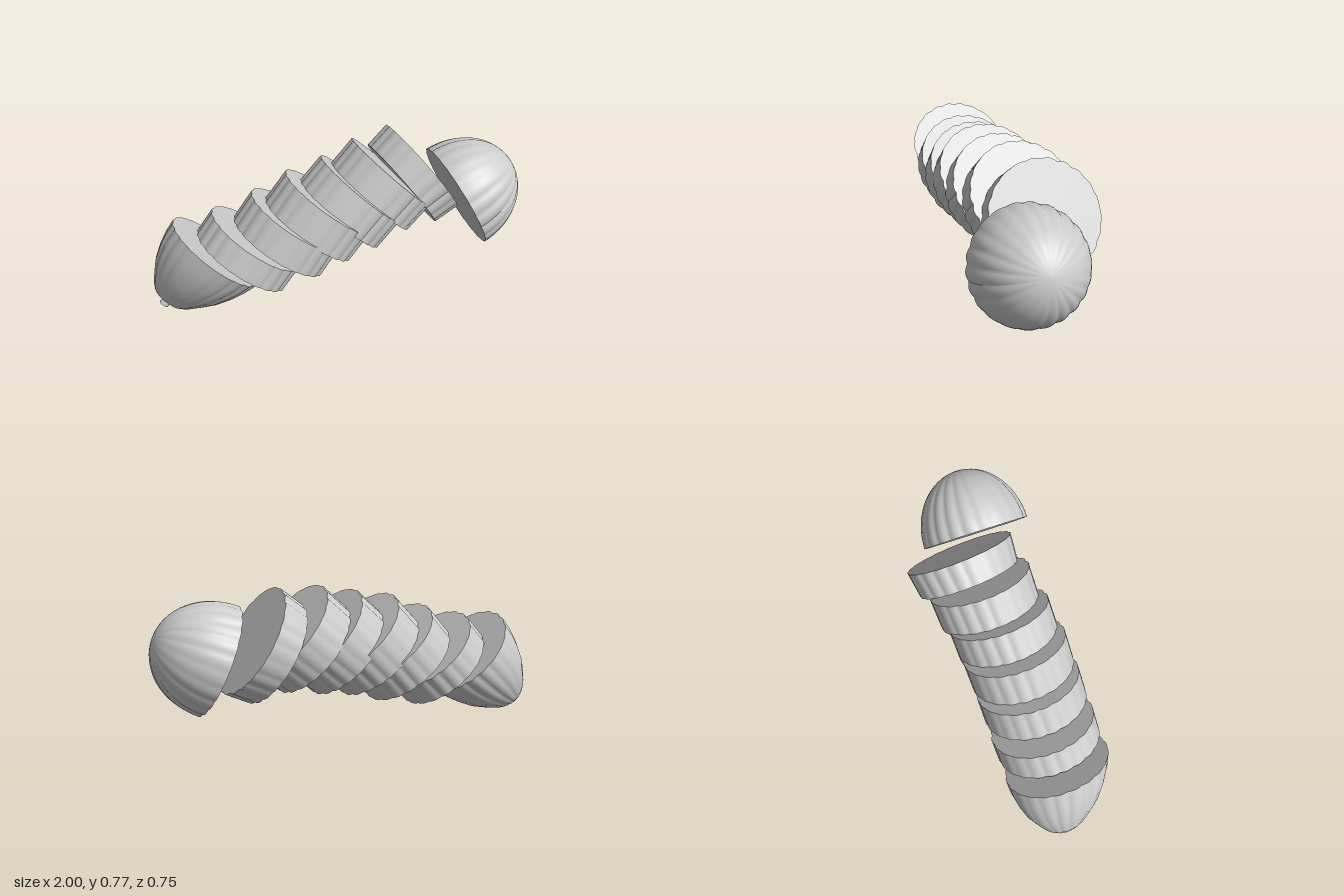
import * as THREE from 'three';

const RIBS = 22;
const material = new THREE.MeshStandardMaterial({ color: 0xcccccc });

// Lathe whose radius is pinched by slightly irregular lengthwise grooves
function ribbedLathe(name, points, seed, lean = 0) {
  const geo = new THREE.LatheGeometry(points.map(([r, y]) => new THREE.Vector2(r, y)), RIBS * 6);
  const pos = geo.attributes.position;
  for (let i = 0; i < pos.count; i++) {
    const x = pos.getX(i), y = pos.getY(i), z = pos.getZ(i);
    const a = Math.atan2(x, z);
    const groove = 1 - Math.abs(Math.sin(a * RIBS / 2));
    const k = 1 - 0.022 * groove * (1 + 0.6 * Math.sin(3 * a + seed)) - 0.006 * (1 + Math.sin(2 * a + seed));
    pos.setXYZ(i, x * k, y, z * k + lean * y);
  }
  geo.computeVertexNormals();
  const mesh = new THREE.Mesh(geo, material);
  mesh.name = name;
  return mesh;
}

// Group whose local y axis points along the given tilt (degrees above +x) and z slope
function placed(name, [x, y, z], tilt, slope = 0) {
  const g = new THREE.Group();
  const a = THREE.MathUtils.degToRad(tilt);
  const dir = new THREE.Vector3(Math.cos(a), Math.sin(a), slope).normalize();
  g.name = name;
  g.position.set(x, y, z);
  g.quaternion.setFromUnitVectors(new THREE.Vector3(0, 1, 0), dir);
  return g;
}

export function createModel() {
  const model = new THREE.Group();
  model.name = 'slicedVegetable';

  // Slices: centre, tilt, thickness, lower radius, upper radius
  const slices = [
    [[-0.51, 0.314, -0.065], 50, 0.135, 0.275, 0.275],
    [[-0.30, 0.366, -0.045], 51.5, 0.165, 0.278, 0.276],
    [[-0.125, 0.426, -0.035], 48.6, 0.18, 0.278, 0.278],
    [[0.058, 0.459, -0.035], 44.5, 0.18, 0.275, 0.275],
    [[0.251, 0.50, -0.055], 43.4, 0.175, 0.275, 0.278],
    [[0.46, 0.489, -0.08], 33.5, 0.145, 0.282, 0.298],
  ];
  slices.forEach(([centre, tilt, t, r0, r1], i) => {
    const g = placed('slice' + (i + 1), centre, tilt);
    const h = t / 2;
    g.add(
      ribbedLathe('sliceSkin', [[r0, -h], [r1, h]], i * 0.3),
      ribbedLathe('sliceTopFace', [[r1, h], [0, h]], i * 0.3),
      ribbedLathe('sliceBottomFace', [[0, -h], [r0, -h]], i * 0.3),
    );
    model.add(g);
  });

  // Tapered end with a small stem
  const stemEnd = placed('stemEnd', [-0.68, 0.337, -0.085], 45.8);
  const lean = 0.18;
  stemEnd.add(
    ribbedLathe('stemEndSkin', [[0, -0.378], [0.05, -0.378], [0.093, -0.365], [0.125, -0.335],
      [0.165, -0.28], [0.205, -0.22], [0.24, -0.14], [0.262, -0.07], [0.275, 0]], 0, lean),
    ribbedLathe('stemEndFace', [[0.275, 0], [0, 0]], 0, lean),
  );
  const stem = new THREE.Mesh(new THREE.CylinderGeometry(0.022, 0.026, 0.05, 12), material);
  stem.name = 'stem';
  stem.position.set(0, -0.39, -0.39 * lean);
  stemEnd.add(stem);
  model.add(stemEnd);

  // Rounded end
  const roundEnd = placed('roundEnd', [0.655, 0.387, 0.075], 25.3, 0.09);
  const dome = [];
  for (let i = 0; i <= 16; i++) {
    const a = (i / 16) * Math.PI / 2;
    dome.push([i === 16 ? 0 : 0.302 * Math.cos(a), 0.354 * Math.sin(a)]);
  }
  roundEnd.add(
    ribbedLathe('roundEndSkin', dome, 2),
    ribbedLathe('roundEndFace', [[0, 0], [0.302, 0]], 2),
  );
  model.add(roundEnd);

  return model;
}
